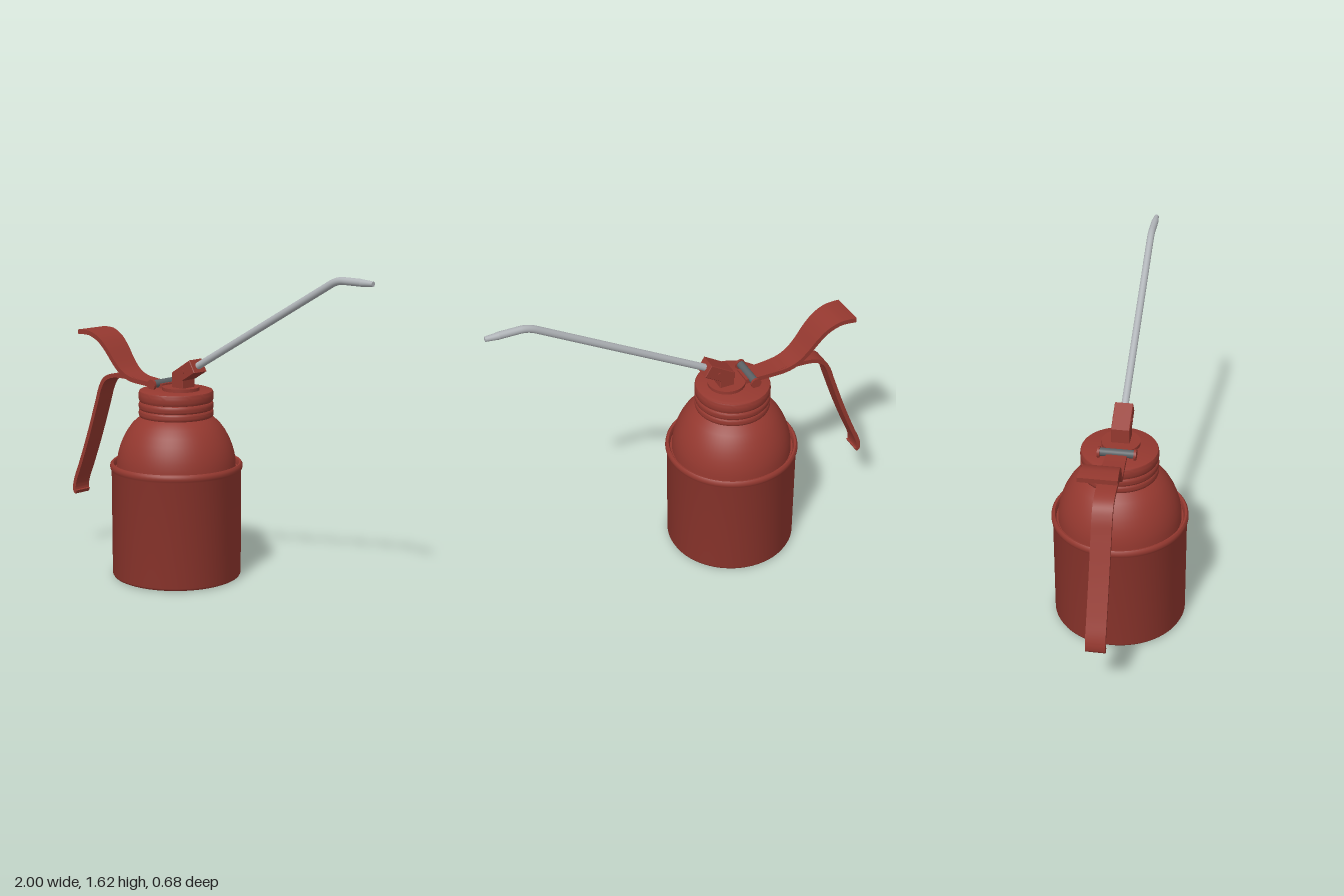
import * as THREE from 'three';
import { toCreasedNormals } from 'three/addons/utils/BufferGeometryUtils.js';

const mat = (name, color) => {
  const m = new THREE.MeshStandardMaterial({ color });
  m.name = name;
  return m;
};
const V2 = (p) => new THREE.Vector2(p[0], p[1]);

// Curved metal strap: points are [x, y, half width], swept as a rectangular section
function strap(points, thickness, steps = 48) {
  const curve = new THREE.CatmullRomCurve3(points.map((p) => new THREE.Vector3(...p)), false, 'centripetal');
  const pos = [], index = [];
  for (let i = 0; i <= steps; i++) {
    const p = curve.getPoint(i / steps), t = curve.getTangent(i / steps);
    const len = Math.hypot(t.x, t.y);
    const nx = (-t.y / len) * thickness / 2, ny = (t.x / len) * thickness / 2;
    for (const [s, w] of [[1, 1], [1, -1], [-1, -1], [-1, 1]]) {
      pos.push(p.x + nx * s, p.y + ny * s, p.z * w);
    }
    if (i === steps) break;
    for (let k = 0; k < 4; k++) {
      const a = i * 4 + k, b = i * 4 + (k + 1) % 4;
      index.push(a, b, a + 4, b, b + 4, a + 4);
    }
  }
  const e = steps * 4;
  index.push(0, 2, 1, 0, 3, 2, e, e + 1, e + 2, e, e + 2, e + 3);
  const geo = new THREE.BufferGeometry();
  geo.setAttribute('position', new THREE.Float32BufferAttribute(pos, 3));
  geo.setIndex(index);
  return toCreasedNormals(geo, 0.6);
}

export function createModel() {
  const model = new THREE.Group();
  model.name = 'oilCan';
  const red = mat('red paint', 0x94382f);
  const steel = mat('bright steel', 0xb0b4b8);
  const dark = mat('dark steel', 0x5a6064);
  red.side = THREE.DoubleSide;

  const add = (name, geo, material, x = 0, y = 0, z = 0) => {
    const m = new THREE.Mesh(geo, material);
    m.name = name;
    m.position.set(x, y, z);
    model.add(m);
    return m;
  };
  const lathe = (pts) => toCreasedNormals(new THREE.LatheGeometry(pts.map(V2), 72), 0.7);
  const axis = -0.25;

  // Can with rolled rim
  add('can', lathe([
    [0, 0], [0.318, 0], [0.327, 0.004], [0.332, 0.014], [0.332, 0.555], [0.337, 0.563],
    [0.34, 0.575], [0.338, 0.588], [0.331, 0.596], [0.322, 0.594], [0.317, 0.585], [0.315, 0.565], [0.29, 0.56],
  ]), red, axis);

  // Domed shoulder
  add('dome', lathe([
    [0.305, 0.555], [0.304, 0.6], [0.298, 0.64], [0.287, 0.68], [0.271, 0.72],
    [0.249, 0.76], [0.222, 0.797], [0.19, 0.825], [0.17, 0.838],
  ]), red, axis);

  // Ribbed screw collar
  const collar = [[0.16, 0.83]];
  for (const [lo, hi] of [[0.832, 0.87], [0.87, 0.91], [0.91, 0.968]]) {
    for (let i = 0; i <= 8; i++) {
      const a = (i / 8) * Math.PI;
      collar.push([0.177 + 0.014 * Math.sqrt(Math.sin(a) + 1e-9), lo + (hi - lo) * (1 - Math.cos(a)) / 2]);
    }
  }
  collar.push([0.17, 0.971], [0, 0.971]);
  add('collar', lathe(collar), red, axis);
  add('topDisc', new THREE.CylinderGeometry(0.095, 0.095, 0.02, 48), red, -0.215, 0.978);

  // Angled spout holder
  const shape = new THREE.Shape([
    [-0.237, 0.98], [-0.16, 0.98], [-0.16, 1.028], [-0.076, 1.077], [-0.112, 1.138], [-0.237, 1.062],
  ].map(V2));
  const block = new THREE.ExtrudeGeometry(shape, {
    depth: 0.084, bevelEnabled: true, bevelSize: 0.003, bevelThickness: 0.003, bevelOffset: -0.003, bevelSegments: 1,
  });
  add('spoutHolder', block, red, 0, 0, -0.042);
  for (const s of [1, -1]) {
    const screw = add('holderPin', new THREE.CylinderGeometry(0.01, 0.01, 0.006, 20), red, -0.157, 1.073, s * 0.046);
    screw.rotation.x = Math.PI / 2;
  }

  // Spout tube with a bent end
  const path = new THREE.CurvePath();
  const a = new THREE.Vector3(-0.1, 1.103, 0), b = new THREE.Vector3(0.755, 1.579, 0);
  const c = new THREE.Vector3(0.83, 1.6, 0), d = new THREE.Vector3(0.935, 1.599, 0);
  path.add(new THREE.LineCurve3(a, b));
  path.add(new THREE.QuadraticBezierCurve3(b, new THREE.Vector3(0.793, 1.6, 0), c));
  path.add(new THREE.LineCurve3(c, d));
  add('spout', new THREE.TubeGeometry(path, 90, 0.018, 20), steel);
  const tip = add('spoutTip', new THREE.CylinderGeometry(0.012, 0.018, 0.067, 20), steel, 0.9665, 1.598);
  tip.rotation.z = -Math.PI / 2;

  // Thumb lever flaring toward its end
  add('thumbLever', strap([
    [-0.3, 0.985, 0.048], [-0.36, 0.984, 0.05], [-0.45, 0.987, 0.054], [-0.53, 0.997, 0.06],
    [-0.59, 1.025, 0.065], [-0.64, 1.073, 0.07], [-0.69, 1.135, 0.076], [-0.74, 1.182, 0.081],
    [-0.8, 1.21, 0.086], [-0.845, 1.214, 0.089], [-0.888, 1.212, 0.092],
  ], 0.024), red);

  // Hand grip hanging beside the can
  add('handGrip', strap([
    [-0.36, 0.98, 0.048], [-0.45, 0.985, 0.048], [-0.53, 0.998, 0.048], [-0.62, 1.001, 0.048], [-0.69, 0.992, 0.048],
    [-0.74, 0.967, 0.048], [-0.77, 0.922, 0.048], [-0.8, 0.84, 0.048], [-0.87, 0.65, 0.048],
    [-0.94, 0.48, 0.048], [-0.98, 0.39, 0.048], [-0.99, 0.35, 0.048], [-0.988, 0.325, 0.048], [-0.976, 0.318, 0.048],
  ], 0.022, 64), red);

  // Pivot pin with end caps
  const pin = add('pivotPin', new THREE.CylinderGeometry(0.02, 0.02, 0.17, 24), dark, -0.335, 0.995);
  pin.rotation.x = Math.PI / 2;
  for (const s of [1, -1]) {
    const cap = add('pivotCap', new THREE.CylinderGeometry(0.027, 0.027, 0.012, 24), red, -0.335, 0.993, s * 0.088);
    cap.rotation.x = Math.PI / 2;
  }
  return model;
}
